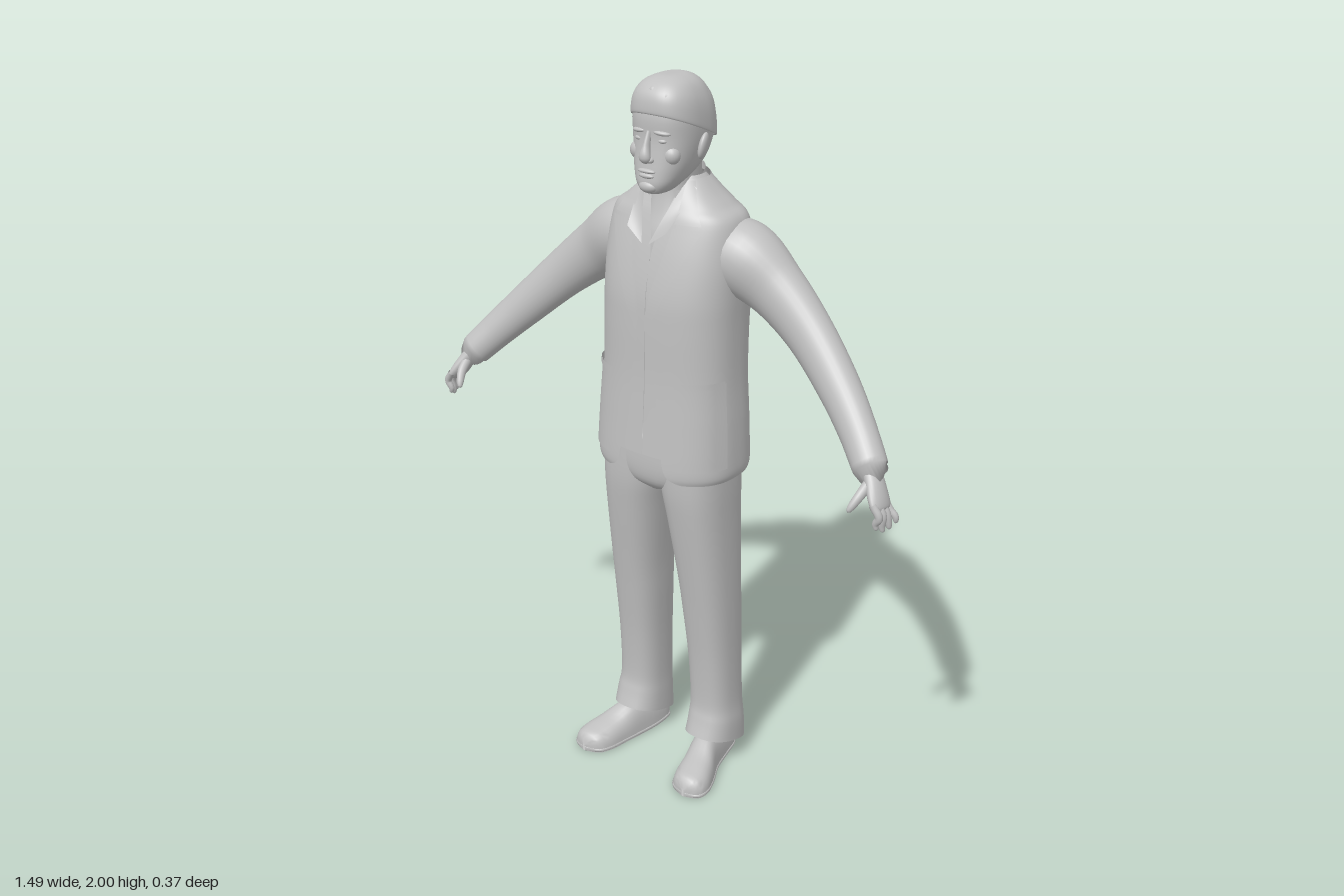
import * as THREE from 'three';
import { toCreasedNormals } from 'three/addons/utils/BufferGeometryUtils.js';

const clay = new THREE.MeshStandardMaterial({ color: 0xc0c0c0, side: THREE.DoubleSide });
clay.name = 'light grey';
const V = (x, y, z) => new THREE.Vector3(x, y, z);
const POWER = 0.8;
const spow = (v, p) => Math.sign(v) * Math.abs(v) ** p;

// Surface from fn(s, t) -> Vector3; wrap joins the last column to the first
function grid(fn, ns, nt, wrap = false) {
  const cols = wrap ? nt : nt + 1, pos = [], index = [];
  for (let i = 0; i <= ns; i++)
    for (let j = 0; j < cols; j++) pos.push(...fn(i / ns, j / nt).toArray());
  for (let i = 0; i < ns; i++)
    for (let j = 0; j < nt; j++) {
      const a = i * cols + j, b = i * cols + (j + 1) % cols;
      index.push(a, b, a + cols, b, b + cols, a + cols);
    }
  const g = new THREE.BufferGeometry();
  g.setAttribute('position', new THREE.Float32BufferAttribute(pos, 3));
  g.setIndex(index);
  g.computeVertexNormals();
  return g;
}

// Smooth interpolation through a list of equal-length rows
function blend(rows, s) {
  const n = rows.length - 1, i = Math.min(Math.floor(s * n), n - 1), f = s * n - i;
  const at = k => rows[Math.max(0, Math.min(n, k))];
  return rows[0].map((_, c) => {
    const [a, b, d, e] = [at(i - 1)[c], at(i)[c], at(i + 1)[c], at(i + 2)[c]];
    return b + 0.5 * f * (d - a + f * (2 * a - 5 * b + 4 * d - e + f * (3 * (b - d) + e - a)));
  });
}

// Point on a horizontal section: [y, centreX, halfWidth, frontZ, backZ, frontGap, tilt]
function sectionPoint([y, cx, rx, zf, zb, , tilt], a) {
  const dz = (zf - zb) / 2 * spow(Math.cos(a), POWER);
  return V(cx + rx * spow(Math.sin(a), POWER), y + tilt * dz, (zf + zb) / 2 + dz);
}
const angleAt = (row, x) => Math.asin(Math.min(1, Math.max(0, x) / row[2]) ** (1 / POWER));

// Stack of horizontal sections, open at the front wherever a gap is given
function stack(rows, ns = 36, nt = 48) {
  const open = rows.some(r => r[5] > 0);
  return grid((s, t) => {
    const row = blend(rows, s), a0 = open ? angleAt(row, row[5]) : 0;
    return sectionPoint(row, a0 + t * (2 * Math.PI - 2 * a0));
  }, ns, nt, !open);
}

// Oval tube through points [x, y, z, radiusAcross, radiusInZ]
function limb(points, ns = 24, nt = 24) {
  const curve = new THREE.CatmullRomCurve3(points.map(p => V(p[0], p[1], p[2])));
  return grid((s, t) => {
    const T = curve.getTangent(s), v = V(0, 0, 1).addScaledVector(T, -T.z).normalize();
    const u = V().crossVectors(T, v), row = blend(points, s), a = t * 2 * Math.PI;
    return curve.getPoint(s).addScaledVector(u, row[3] * Math.cos(a)).addScaledVector(v, row[4] * Math.sin(a));
  }, ns, nt, true);
}

const JACKET = [
  [0.942, 0, 0.207, 0.135, -0.172, 0.12, 0], [0.96, 0, 0.213, 0.138, -0.174, 0.085, 0],
  [1.0, 0, 0.213, 0.137, -0.174, 0.07, 0], [1.1, 0, 0.208, 0.13, -0.172, 0.055, 0],
  [1.22, 0, 0.2, 0.123, -0.17, 0.038, 0], [1.36, 0, 0.198, 0.12, -0.175, 0.015, 0],
  [1.45, 0, 0.2, 0.114, -0.183, 0.025, 0], [1.55, 0, 0.202, 0.093, -0.186, 0.05, 0],
  [1.64, 0, 0.188, 0.065, -0.162, 0.068, 0], [1.675, 0, 0.15, 0.05, -0.146, 0.07, 0],
  [1.705, 0, 0.115, 0.035, -0.128, 0.068, 0], [1.74, 0, 0.08, 0.012, -0.106, 0.062, 0]];

function jacketRow(y) {
  let lo = 0, hi = 1;
  for (let k = 0; k < 24; k++) {
    const m = (lo + hi) / 2;
    if (blend(JACKET, m)[0] < y) lo = m; else hi = m;
  }
  return blend(JACKET, lo);
}

// Thin cloth patch lying on the jacket front between two x limits
function patch(y0, y1, inner, outer, lift) {
  return grid((s, t) => {
    const row = jacketRow(y0 + s * (y1 - y0));
    const x0 = inner(s, row), x = x0 + t * (outer(s, row) - x0);
    const p = sectionPoint(row, angleAt(row, x));
    p.x *= 1 + lift;
    p.z += lift;
    return p;
  }, 16, 8);
}

export function createModel() {
  const model = new THREE.Group();
  model.name = 'standingMan';
  const add = (name, geometry, parent = model) => {
    const m = new THREE.Mesh(geometry, clay);
    m.name = name;
    parent.add(m);
    return m;
  };
  const blob = (name, x, y, z, rx, ry, rz, parent = model) => {
    const m = add(name, new THREE.SphereGeometry(1, 20, 14), parent);
    m.position.set(x, y, z);
    m.scale.set(rx, ry, rz);
    return m;
  };

  // Head, neck and hair
  add('head', stack([
    [1.712, 0, 0.002, 0.07, 0.066, 0, 0], [1.714, 0, 0.03, 0.092, 0.02, 0, 0],
    [1.735, 0, 0.052, 0.102, -0.02, 0, 0], [1.765, 0, 0.069, 0.1, -0.07, 0, 0],
    [1.8, 0, 0.081, 0.095, -0.102, 0, 0], [1.85, 0, 0.09, 0.089, -0.12, 0, 0],
    [1.9, 0, 0.092, 0.09, -0.122, 0, 0], [1.94, 0, 0.084, 0.08, -0.111, 0, 0],
    [1.97, 0, 0.066, 0.062, -0.09, 0, 0], [1.986, 0, 0.038, 0.035, -0.062, 0, 0],
    [1.989, 0, 0.002, -0.012, -0.016, 0, 0]]));
  add('hair', stack([
    [1.87, 0, 0.09, 0.086, -0.12, 0, 0.4], [1.872, 0, 0.096, 0.094, -0.126, 0, 0.4],
    [1.915, 0, 0.093, 0.091, -0.124, 0, 0.3], [1.95, 0, 0.083, 0.08, -0.112, 0, 0.2],
    [1.98, 0, 0.063, 0.06, -0.088, 0, 0.08], [1.996, 0, 0.033, 0.03, -0.055, 0, 0],
    [1.998, 0, 0.002, -0.012, -0.016, 0, 0]]));
  for (let k = -2; k <= 2; k++)
    blob('hairTuft', k * 0.02, 1.968 - Math.abs(k) * 0.006, 0.05, 0.017, 0.015, 0.03);
  add('neck', stack([
    [1.54, 0, 0.07, 0.078, -0.09, 0, 0], [1.6, 0, 0.07, 0.07, -0.09, 0, 0],
    [1.66, 0, 0.06, 0.05, -0.092, 0, 0], [1.72, 0, 0.056, 0.038, -0.092, 0, 0],
    [1.79, 0, 0.058, 0.04, -0.095, 0, 0]], 16));
  add('nose', limb([[0, 1.87, 0.086, 0.006, 0.008], [0, 1.835, 0.097, 0.009, 0.012],
    [0, 1.808, 0.105, 0.016, 0.013], [0, 1.797, 0.1, 0.012, 0.008], [0, 1.794, 0.096, 0.001, 0.001]]));
  blob('upperLip', 0, 1.772, 0.098, 0.027, 0.006, 0.009);
  blob('lowerLip', 0, 1.76, 0.098, 0.023, 0.007, 0.009);
  blob('chin', 0, 1.732, 0.09, 0.028, 0.017, 0.018);

  // Shirt
  add('shirt', stack(JACKET.slice(2).map(([y, cx, rx, zf, zb]) =>
    [y + 0.005, cx, rx - 0.014, zf - 0.01, zb + 0.014, Math.max(0.001, (y - 1.57) * 0.3), 0])));
  add('shirtCollar', stack([[1.67, 0, 0.076, 0.045, -0.108, 0.04, -0.4],
    [1.738, 0, 0.066, 0.04, -0.1, 0.04, -0.4]], 4));

  // Jacket with its collar
  add('jacket', stack(JACKET, 66, 64));
  add('jacketCollar', stack([[1.67, 0, 0.112, 0.05, -0.14, 0.075, -0.35],
    [1.7, 0, 0.092, 0.03, -0.122, 0.07, -0.35], [1.728, 0, 0.077, 0.02, -0.107, 0.065, -0.35]], 8));

  // Trouser seat
  add('trouserSeat', stack([[0.88, 0, 0.03, 0.07, -0.09, 0, 0], [0.91, 0, 0.14, 0.1, -0.125, 0, 0],
    [0.96, 0, 0.188, 0.11, -0.135, 0, 0], [1.04, 0, 0.188, 0.108, -0.14, 0, 0]], 12));

  for (const side of [1, -1]) {
    const half = new THREE.Group();
    half.name = side > 0 ? 'leftSide' : 'rightSide';
    half.scale.x = side;
    model.add(half);

    // Face details
    const ear = blob('ear', 0.094, 1.828, -0.012, 0.011, 0.034, 0.02, half);
    ear.rotation.set(-0.2, 0.3, -0.12);
    blob('eye', 0.034, 1.848, 0.077, 0.015, 0.007, 0.011, half);
    blob('brow', 0.035, 1.868, 0.079, 0.024, 0.007, 0.012, half).rotation.set(0, 0.25, -0.08);
    blob('nostril', 0.011, 1.8, 0.096, 0.009, 0.008, 0.011, half);
    blob('cheek', 0.05, 1.812, 0.062, 0.025, 0.025, 0.022, half);

    // Shirt collar flap, lapel and pocket
    add('shirtCollarFlap', grid((s, t) => {
      const inner = V(0.062 - 0.052 * s, 1.735 - 0.15 * s, 0.01 + 0.115 * s ** 0.75 - 0.018 * s);
      return inner.lerp(V(0.088 - 0.026 * s, 1.722 - 0.1 * s, 0.005 + 0.095 * s), t);
    }, 10, 4), half);
    add('lapel', patch(1.36, 1.63, (s, r) => r[5] - 0.003, s => 0.022 + 0.118 * s, 0.009), half);
    add('lapelTop', patch(1.64, 1.738, (s, r) => r[5] - 0.003, s => 0.135 - 0.06 * s, 0.009), half);
    add('pocket', patch(0.985, 1.225, () => 0.105, (s, r) => r[2] * 0.985, 0.005), half);
    add('pocketTrim', patch(1.215, 1.232, () => 0.1, (s, r) => r[2] * 0.985, 0.009), half);

    // Sleeve and cuff
    add('sleeve', limb([
      [0.1, 1.565, -0.06, 0.08, 0.09], [0.19, 1.54, -0.065, 0.1, 0.095],
      [0.29, 1.477, -0.066, 0.082, 0.07], [0.4, 1.39, -0.05, 0.068, 0.056],
      [0.52, 1.277, -0.012, 0.058, 0.05], [0.6, 1.196, 0.027, 0.051, 0.045],
      [0.662, 1.128, 0.064, 0.044, 0.043], [0.66, 1.13, 0.062, 0.03, 0.03]], 42, 28), half);

    // Hand
    add('palm', limb([[0.645, 1.145, 0.056, 0.022, 0.026], [0.675, 1.11, 0.072, 0.021, 0.03],
      [0.7, 1.07, 0.088, 0.019, 0.037], [0.713, 1.048, 0.095, 0.013, 0.034],
      [0.716, 1.042, 0.096, 0.002, 0.01]], 20), half);
    for (let k = 0; k < 4; k++) {
      const z = 0.066 + k * 0.018, drop = [0.012, 0.0, -0.004, 0.006][k], x = 0.738 - k * 0.008;
      add('finger', limb([[0.703, 1.066, z + 0.002, 0.01, 0.01], [0.722, 1.036, z, 0.0105, 0.0095],
        [x - 0.002, 1.01 + drop, z - 0.002, 0.009, 0.008], [x, 0.996 + drop, z - 0.003, 0.006, 0.006],
        [x, 0.992 + drop, z - 0.003, 0.001, 0.001]], 14, 12), half);
    }
    add('thumb', limb([[0.672, 1.105, 0.085, 0.014, 0.014], [0.665, 1.08, 0.118, 0.013, 0.013],
      [0.655, 1.055, 0.138, 0.01, 0.01], [0.65, 1.043, 0.145, 0.006, 0.006],
      [0.649, 1.04, 0.147, 0.001, 0.001]], 14, 12), half);

    // Trouser leg with slanted hem
    add('trouserLeg', stack([
      [0.072, 0.131, 0.073, 0.05, -0.14, 0, 0.33], [0.13, 0.131, 0.071, 0.034, -0.137, 0, 0.25],
      [0.2, 0.128, 0.066, 0.024, -0.133, 0, 0.1], [0.35, 0.125, 0.067, 0.032, -0.13, 0, 0],
      [0.5, 0.121, 0.072, 0.05, -0.126, 0, 0], [0.62, 0.117, 0.076, 0.067, -0.122, 0, 0],
      [0.8, 0.106, 0.086, 0.094, -0.125, 0, 0], [0.9, 0.098, 0.094, 0.106, -0.13, 0, 0],
      [1.0, 0.096, 0.094, 0.108, -0.135, 0, 0]], 40, 32), half);

    // Shoe: flat-bottomed sections from heel to toe, [z, centreX, halfWidth, height]
    const SHOE = [[-0.126, 0.122, 0.004, 0.03], [-0.114, 0.122, 0.034, 0.075], [-0.05, 0.128, 0.044, 0.1],
      [0.02, 0.142, 0.047, 0.104], [0.08, 0.162, 0.055, 0.076], [0.13, 0.175, 0.058, 0.062],
      [0.168, 0.181, 0.044, 0.05], [0.185, 0.183, 0.004, 0.022]];
    add('shoe', toCreasedNormals(grid((s, t) => {
      const [z, cx, w, h] = blend(SHOE, s), a = t * 2 * Math.PI, up = Math.sin(a);
      return V(cx + w * spow(Math.cos(a), 0.8), up > 0 ? h * up ** 0.75 : 0, z);
    }, 28, 28, true), 0.9), half);
    add('shoeSole', grid((s, t) => {
      const [z, cx, w] = blend(SHOE, s), a = t * 2 * Math.PI;
      return V(cx + (w + 0.003) * spow(Math.cos(a), 0.8), 0.007 + 0.007 * spow(Math.sin(a), 0.4), z);
    }, 28, 16, true), half);
  }
  return model;
}
